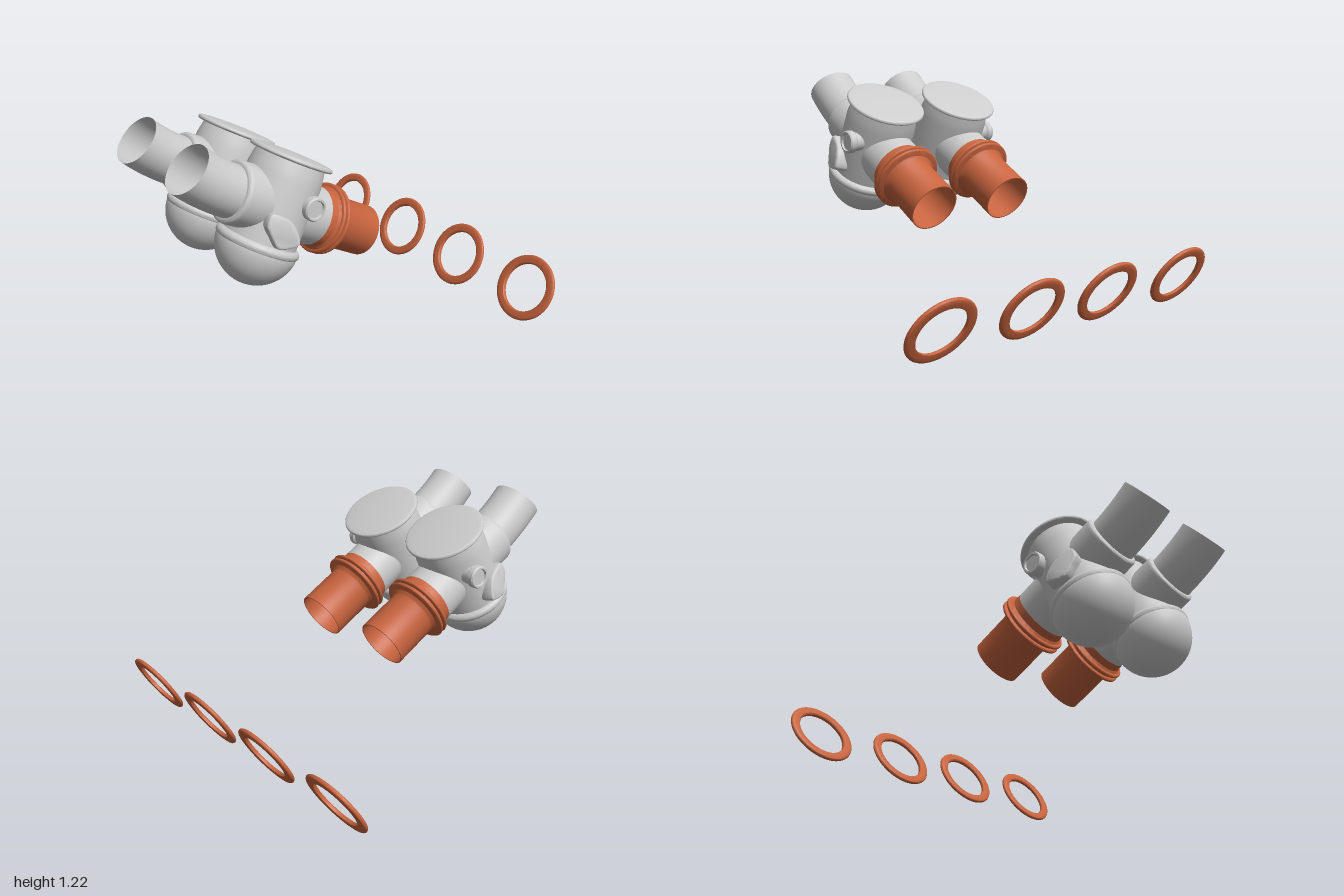
import * as THREE from 'three';
import { toCreasedNormals } from 'three/addons/utils/BufferGeometryUtils.js';

const TILT = 0.48;
const grey = new THREE.MeshStandardMaterial({ color: 0xcccccc, side: THREE.DoubleSide });
const copper = new THREE.MeshStandardMaterial({ color: 0xc8643e, side: THREE.DoubleSide });

function add(parent, name, geometry, material) {
  const mesh = new THREE.Mesh(geometry, material);
  mesh.name = name;
  parent.add(mesh);
  return mesh;
}

// Turned part from [radius, height] pairs, with crisp edges kept
function turned(points, segments = 64) {
  const profile = points.map(([r, y]) => new THREE.Vector2(r, y));
  return toCreasedNormals(new THREE.LatheGeometry(profile, segments), 0.6);
}

// Points along an arc in a turned profile
function arc(cx, cy, r, from, to, n) {
  return Array.from({ length: n + 1 }, (_, i) => {
    const a = from + (to - from) * i / n;
    return [Math.max(0, cx + r * Math.cos(a)), cy + r * Math.sin(a)];
  });
}

// One valve; side is +1 or -1 and tells where the fittings sit
function makeValve(side) {
  const valve = new THREE.Group();

  // Bowl, rim band and straight barrel
  add(valve, 'bowlAndBarrel', turned([
    ...arc(0, -0.209, 0.216, -Math.PI / 2, -0.12, 16),
    ...arc(0.196, -0.205, 0.026, -0.8, Math.PI / 2, 8),
    [0.196, -0.17], [0.197, 0.15], [0.19, 0.2], [0.18, 0.25],
  ]), grey);

  // Thin, slightly domed lid
  add(valve, 'lid', turned([
    [0, 0.24], [0.18, 0.24], [0.205, 0.243],
    ...arc(0.208, 0.254, 0.011, -Math.PI / 2, Math.PI / 2, 6),
    [0.19, 0.268], [0.1, 0.274], [0, 0.276],
  ]), grey);

  // Front collar and upward bending inlet pipe
  const collar = add(valve, 'inletCollar', turned([
    [0.16, 0], [0.16, 0.255], ...arc(0.142, 0.262, 0.018, 0, Math.PI / 2, 6), [0, 0.28],
  ]), grey);
  collar.rotation.x = Math.PI / 2;
  const bend = new THREE.QuadraticBezierCurve3(
    new THREE.Vector3(0, 0, 0.24), new THREE.Vector3(0, 0, 0.41), new THREE.Vector3(0, 0.04, 0.551));
  add(valve, 'inletPipe', new THREE.TubeGeometry(bend, 20, 0.134, 48), grey);

  // Rear neck
  const neck = add(valve, 'outletNeck', turned([
    [0.155, 0], [0.155, 0.27], [0.148, 0.28], [0, 0.28],
  ]), grey);
  neck.rotation.x = -Math.PI / 2;

  // Copper connector with a double flange, open at the end
  const connector = add(valve, 'outletConnector', turned([
    [0.13, 0.282], [0.155, 0.27], [0.158, 0.31], [0.17, 0.322],
    ...arc(0.178, 0.332, 0.01, -Math.PI / 2, Math.PI / 2, 6),
    [0.168, 0.345], [0.168, 0.352],
    ...arc(0.178, 0.363, 0.01, -Math.PI / 2, Math.PI / 2, 6),
    [0.155, 0.378], [0.142, 0.392], [0.137, 0.4], [0.137, 0.642],
    [0.131, 0.642], [0.131, 0.282],
  ]), copper);
  connector.rotation.x = -Math.PI / 2;

  // Small round side port with a raised rim
  const port = add(valve, 'sidePort', turned([
    [0.052, 0.13], [0.052, 0.2], [0.062, 0.21], [0.062, 0.238],
    [0.056, 0.246], [0.047, 0.246], [0.043, 0.236], [0, 0.236],
  ], 32), grey);
  port.position.set(0, 0.065, -0.068);
  port.rotation.z = -side * Math.PI / 2;

  // Rounded side pad lying against the barrel
  const outline = new THREE.CatmullRomCurve3([
    [0.085, -0.001], [0.079, 0.055], [-0.017, 0.05], [-0.07, 0.012],
    [-0.098, -0.044], [-0.01, -0.088], [0.045, -0.046],
  ].map(([z, y]) => new THREE.Vector3(-side * z, y, 0)), true, 'catmullrom', 0.4);
  const shape = new THREE.Shape(outline.getPoints(48).slice(0, 48).map(p => new THREE.Vector2(p.x, p.y)));
  const padGeometry = new THREE.ExtrudeGeometry(shape, {
    depth: 0.05, bevelEnabled: true, bevelSize: 0.012, bevelThickness: 0.015, bevelSegments: 4, bevelOffset: -0.006,
  });
  const pad = add(valve, 'sidePad', toCreasedNormals(padGeometry, 0.7), grey);
  pad.rotation.order = 'YXZ';
  pad.rotation.set(-0.12, side * (Math.PI / 2 - 0.25), 0);
  pad.position.set(side * 0.163, -0.086, 0.04);

  return valve;
}

export function createModel() {
  const model = new THREE.Group();
  model.name = 'twinValves';

  // Pair of mirrored valves, leaning back
  for (const [name, x, side] of [['leftValve', 0.257, 1], ['rightValve', -0.249, -1]]) {
    const valve = makeValve(side);
    valve.name = name;
    valve.position.set(x, 0.8385, 0.435);
    valve.rotation.x = -TILT;
    model.add(valve);
  }

  // Row of four loose sealing rings behind
  const ringGeometry = turned([
    [0.136, -0.01], [0.165, -0.013], ...arc(0.176, 0, 0.011, -Math.PI / 2, Math.PI / 2, 8),
    [0.165, 0.013], [0.142, 0.01], [0.136, 0.004], [0.136, -0.01],
  ]);
  for (const x of [-0.793, -0.25, 0.257, 0.79]) {
    const ring = add(model, 'sealingRing', ringGeometry, copper);
    ring.position.set(x, 0.171, -0.904);
    ring.rotation.x = Math.PI / 2 - 0.5;
  }
  return model;
}
